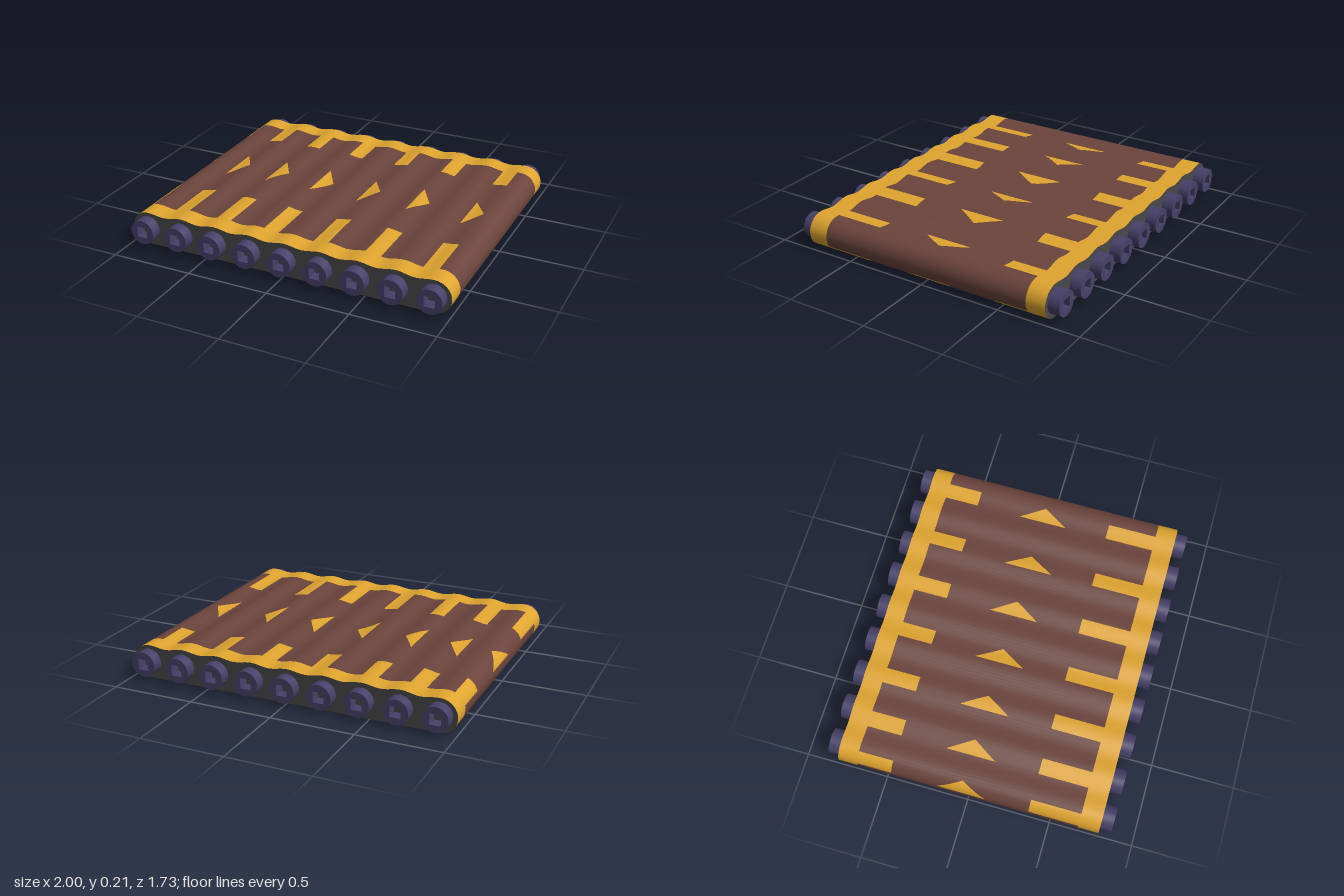
import * as THREE from 'three';

const paint = (name, color) => Object.assign(new THREE.MeshStandardMaterial({ color }), { name });

const R = 0.1, HALF = 0.9, ARC = Math.PI * R, FLAT = 2 * HALF;
const LOOP = 2 * (ARC + FLAT);
const EDGE = 0.793, PITCH = 0.2245, TOOTH = 0.092;

// Height of the carrying surface, rising slightly over each roller
function topHeight(x) {
  const rise = Math.min(1, (HALF - Math.abs(x)) / 0.2);
  return 0.2 + 0.0075 * (Math.cos(2 * Math.PI * x / PITCH) - 1) + 0.006 * rise;
}

// Point on the belt loop: along the top, down the +x end, back below, up the -x end
function loopPoint(s) {
  s = ((s % LOOP) + LOOP) % LOOP;
  if (s < FLAT) return [s - HALF, topHeight(s - HALF)];
  s -= FLAT;
  if (s < ARC) return [HALF + R * Math.sin(s / R), R + R * Math.cos(s / R)];
  s -= ARC;
  if (s < FLAT) return [HALF - s, 0];
  s -= FLAT;
  return [-HALF - R * Math.sin(s / R), R - R * Math.cos(s / R)];
}

function loopNormal(s) {
  const a = loopPoint(s - 0.004), b = loopPoint(s + 0.004);
  const dx = b[0] - a[0], dy = b[1] - a[1], l = Math.hypot(dx, dy);
  return [-dy / l, dx / l];
}

// Where each orange marking begins along the loop
const marks = [0.12, 0.4, 0.71, 1.025, 1.345, 1.685, 2.022];
for (let i = 1; i <= 7; i++) marks.push(2.022 + i * 0.2964);

// Belt surface, divided into yellow trim and brown tread
function buildBelt() {
  const parts = [{ pos: [], nor: [] }, { pos: [], nor: [] }];
  const stops = [0, FLAT, FLAT + ARC, 2 * FLAT + ARC, LOOP];
  for (let i = 1; i < 212; i++) stops.push(i * LOOP / 212);
  for (const m of marks) stops.push(m, m + TOOTH);
  stops.sort((a, b) => a - b);

  const strip = (part, s0, s1, a0, b0, a1, b1) => {
    const corners = [[s0, a0], [s0, b0], [s1, b1], [s0, a0], [s1, b1], [s1, a1]];
    for (const [s, z] of corners) {
      part.pos.push(...loopPoint(s), z);
      part.nor.push(...loopNormal(s), 0);
    }
  };
  for (let i = 0; i < stops.length - 1; i++) {
    const s0 = stops[i], s1 = stops[i + 1], mid = (s0 + s1) / 2;
    if (s1 - s0 < 1e-6) continue;
    const m = marks.find(v => mid > v && mid < v + TOOTH);
    // Edge teeth and a central arrow on a marking, plain edge bands elsewhere
    const bounds = s => {
      if (m === undefined) return [-EDGE, -0.675, 0.67, EDGE];
      const h = 0.15 * (1 - (s - m) / TOOTH);
      return [-EDGE, -0.465, -0.04 - h, -0.04 + h, 0.37, EDGE];
    };
    const p = bounds(s0), q = bounds(s1);
    for (let k = 0; k < p.length - 1; k++)
      strip(parts[k % 2], s0, s1, p[k], p[k + 1], q[k], q[k + 1]);
  }
  return parts.map(({ pos, nor }) => {
    const g = new THREE.BufferGeometry();
    g.setAttribute('position', new THREE.Float32BufferAttribute(pos, 3));
    g.setAttribute('normal', new THREE.Float32BufferAttribute(nor, 3));
    return g;
  });
}

export function createModel() {
  const orange = paint('amber trim', 0xe0a52f);
  const brown = paint('brown belt', 0x6b443c);
  const purple = paint('purple roller', 0x474069);
  const grey = paint('dark grey frame', 0x484848);

  const model = new THREE.Group();
  model.name = 'conveyorBelt';
  const add = (parent, name, geometry, material) => {
    const mesh = new THREE.Mesh(geometry, material);
    mesh.name = name;
    parent.add(mesh);
    return mesh;
  };

  const [trim, tread] = buildBelt();
  add(model, 'beltTrim', trim, orange);
  add(model, 'beltTread', tread, brown);

  // Side plate follows the belt loop
  const outline = [];
  for (let i = 0; i < 200; i++) outline.push(new THREE.Vector2(...loopPoint(i * LOOP / 200)));
  const plate = new THREE.ShapeGeometry(new THREE.Shape(outline));

  // Roller end with a square socket
  const disc = new THREE.Shape().absarc(0, 0, 0.075, 0, Math.PI * 2);
  const q = 0.032;
  disc.holes.push(new THREE.Path([[-q, -q], [-q, q], [q, q], [q, -q]].map(c => new THREE.Vector2(...c))));
  const roller = new THREE.ExtrudeGeometry(disc, { depth: 0.07, bevelEnabled: false, curveSegments: 32 });

  for (const [name, turn] of [['frontSide', 0], ['backSide', Math.PI]]) {
    const side = new THREE.Group();
    side.name = name;
    side.rotation.y = turn;
    add(side, 'sidePlate', plate, grey).position.z = EDGE;
    for (let i = -4; i <= 4; i++)
      add(side, 'rollerEnd', roller, purple).position.set(i * PITCH, 0.103, EDGE);
    model.add(side);
  }
  return model;
}
